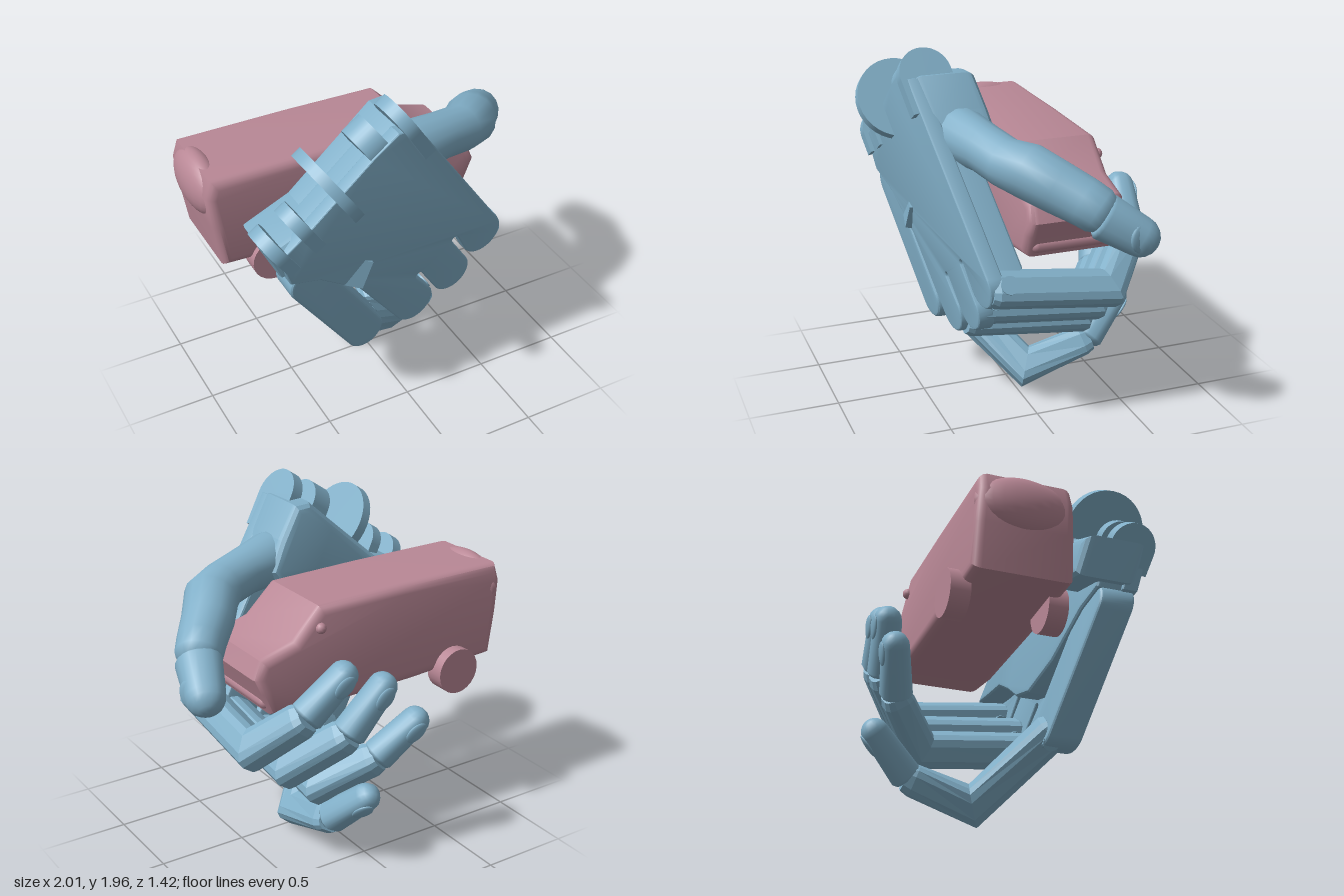
import * as THREE from 'three';
import { toCreasedNormals } from 'three/addons/utils/BufferGeometryUtils.js';

const V = (x, y, z) => new THREE.Vector3(x, y, z);
const ALONG = V(0.55, -0.83, -0.18).normalize();   // wrist to fingers
const ACROSS = V(0.83, 0.55, -0.03).normalize();   // little finger side to thumb side
const plane = (x, y) => 0.312 - 0.129 * x + 0.131 * y; // outer face of the palm

const blue = new THREE.MeshStandardMaterial({ color: 0x82b0c9 });
const blueFlat = new THREE.MeshStandardMaterial({ color: 0x82b0c9, flatShading: true });
const pink = new THREE.MeshStandardMaterial({ color: 0xb98896 });

function add(parent, name, geometry, material) {
  const mesh = new THREE.Mesh(geometry, material);
  mesh.name = name;
  parent.add(mesh);
  return mesh;
}

// Skin over cross-sections [x, y, z, radius]; box < 1 squares them off
function loft(sections, side, n = 12, box = 1) {
  const p = sections.map(s => V(s[0], s[1], s[2]));
  const pos = [], idx = [], last = p.length - 1;
  sections.forEach((s, i) => {
    const tin = p[Math.max(i, 1)].clone().sub(p[Math.max(i, 1) - 1]).normalize();
    const tout = p[Math.min(i + 1, last)].clone().sub(p[Math.min(i, last - 1)]).normalize();
    const t = tin.clone().add(tout).normalize();
    const a = side.clone().addScaledVector(t, -side.dot(t)).normalize();
    const b = t.clone().cross(a);
    const miter = 1 / Math.max(0.75, t.dot(tin));
    for (let j = 0; j < n; j++) {
      const q = (j + 0.5) / n * Math.PI * 2, c = Math.cos(q), d = Math.sin(q);
      const v = p[i].clone()
        .addScaledVector(a, s[3] * Math.sign(c) * Math.abs(c) ** box)
        .addScaledVector(b, s[3] * miter * Math.sign(d) * Math.abs(d) ** box);
      pos.push(v.x, v.y, v.z);
      if (i < last) {
        const A = i * n + j, B = i * n + (j + 1) % n;
        idx.push(A, B, B + n, A, B + n, A + n);
      }
    }
  });
  for (const [i, flip] of [[0, true], [last, false]]) {
    pos.push(p[i].x, p[i].y, p[i].z);
    const c = pos.length / 3 - 1;
    for (let j = 0; j < n; j++) {
      const A = i * n + j, B = i * n + (j + 1) % n;
      idx.push(c, flip ? B : A, flip ? A : B);
    }
  }
  const g = new THREE.BufferGeometry();
  g.setAttribute('position', new THREE.Float32BufferAttribute(pos, 3));
  g.setIndex(idx);
  g.computeVertexNormals();
  return g;
}

// Sections from point a to tip b with a domed finish
function capsule(a, b, ra, rb) {
  const list = [], dir = b.clone().sub(a), len = dir.length();
  dir.normalize();
  const put = (t, r) => { const q = a.clone().addScaledVector(dir, t); list.push([q.x, q.y, q.z, r]); };
  put(0, ra * 0.85);
  put(0.02, ra);
  for (const k of [0, 0.35, 0.65, 0.87, 0.97]) put(len - rb + rb * k, rb * Math.sqrt(1 - k * k));
  return list;
}

// Outline extruded backwards, starting below the palm's outer face, and leaned onto its plane
function plate(shape, depth, bevel = 0.02, below = 0) {
  const g = new THREE.ExtrudeGeometry(shape, { depth: depth - 2 * bevel, bevelThickness: bevel, bevelSize: bevel, bevelOffset: -bevel, bevelSegments: 3, curveSegments: 16 });
  g.translate(0, 0, bevel - depth - below);
  const p = g.attributes.position;
  for (let i = 0; i < p.count; i++) p.setZ(i, p.getZ(i) + plane(p.getX(i), p.getY(i)));
  return toCreasedNormals(g, 0.3);
}

const polygon = pts => new THREE.Shape(pts.map(q => new THREE.Vector2(q[0], q[1])));

function palm(hand) {
  const g = new THREE.Group();
  g.name = 'palm';
  hand.add(g);
  // Outer plate: three rounded knuckle ends with narrow notches between them
  const a = Math.atan2(-0.83, 0.55), h = Math.PI / 2;
  const outline = polygon([[0, 1.82], [-0.12, 1.83], [-0.26, 1.73], [-0.6, 1.44], [-0.79, 1.3], [-0.72, 1.1], [-0.54, 1.04], [-0.28, 0.84]]);
  outline.absarc(0.11, 0.52, 0.125, a - h, a + h, false);
  outline.absarc(0.125, 0.73, 0.02, a - h, a - 3 * h, true);
  outline.absarc(0.36, 0.63, 0.122, a - h, a + h, false);
  outline.absarc(0.355, 0.89, 0.02, a - h, a - 3 * h, true);
  outline.absarc(0.55, 0.84, 0.128, a - h, a + h, false);
  add(g, 'palmPlate', plate(outline, 0.09, 0.012), blue);
  add(g, 'palmBody', plate(polygon([[0, 1.78], [-0.12, 1.78], [-0.26, 1.7], [-0.6, 1.41], [-0.77, 1.28], [-0.7, 1.1],
    [-0.54, 1.04], [-0.28, 0.84], [-0.04, 0.74], [0.11, 0.77], [0.23, 0.86], [0.35, 0.93], [0.48, 0.92], [0.61, 0.92]]), 0.2, 0.025, 0.03), blue);
  // Thick heel along the wrist, carrying the thumb
  add(g, 'palmHeel', plate(polygon([[0, 1.83], [-0.1, 1.83], [-0.26, 1.69], [-0.57, 1.42], [-0.84, 1.32], [-0.75, 1.12], [-0.5, 1.16],
    [-0.1, 1.42], [0.14, 1.4], [0.21, 1.5], [0.12, 1.66]]), 0.35, 0.05, 0.03), blue);
  // Little finger strip, a slanted capsule
  const strip = new THREE.Shape(), s = Math.atan2(-0.58, 0.39);
  strip.absarc(-0.21, 0.46, 0.115, s - h, s + h, false);
  strip.absarc(-0.6, 1.04, 0.115, s + h, s + 3 * h, false);
  add(g, 'littleFingerStrip', plate(strip, 0.2, 0.02, 0.008), blue);
  // Low ledge beside the little finger slot
  const ledge = add(g, 'ledge', new THREE.BoxGeometry(0.11, 0.16, 0.06), blue);
  ledge.position.set(-0.3, 0.97, plane(-0.3, 0.97) - 0.02);
  ledge.rotation.set(-0.13, -0.13, -0.45);
  // Wrist hinge ears: centre, radius, thickness, neck length
  const basis = new THREE.Matrix4().makeBasis(ACROSS, ALONG, ACROSS.clone().cross(ALONG).normalize());
  const ears = [[-0.05, 1.82, 0.44, 0.145, 0.07, 0.2], [-0.22, 1.74, 0.43, 0.13, 0.12, 0.14],
    [-0.47, 1.59, 0.48, 0.23, 0.06, 0], [-0.65, 1.42, 0.48, 0.12, 0.07, 0.14], [-0.79, 1.32, 0.48, 0.13, 0.07, 0.12]];
  for (const [x, y, z, r, t, neck] of ears) {
    const ear = new THREE.Group();
    ear.name = 'wristEar';
    ear.quaternion.setFromRotationMatrix(basis);
    ear.position.set(x, y, z);
    g.add(ear);
    add(ear, 'earDisc', new THREE.CylinderGeometry(r, r, t, 36).rotateZ(Math.PI / 2), blue);
    if (neck) add(ear, 'earNeck', new THREE.BoxGeometry(t, neck, r * 2).translate(0, neck / 2, 0), blue);
  }
}

// Each finger: knuckle, knee, last joint, tip
function finger(hand, name, pts, r) {
  const g = new THREE.Group();
  g.name = name;
  hand.add(g);
  const [k, knee, joint, tip] = pts.map(q => V(...q));
  const sec = (v, f) => [v.x, v.y, v.z, r * f];
  add(g, 'phalanges', loft([sec(k, 0.85), sec(k.clone().lerp(knee, 0.05), 1), sec(knee, 0.98),
    sec(joint.clone().lerp(knee, 0.12), 0.9), sec(joint, 0.76)], ACROSS, 12, 0.65), blueFlat);
  add(g, 'fingertip', loft(capsule(joint.clone().lerp(knee, 0.04), tip, r * 0.9, r * 0.76), ACROSS, 16, 0.82), blue);
  // Hinge pin through the knuckle
  const pin = add(g, 'hingePin', new THREE.CylinderGeometry(r * 0.5, r * 0.5, r * 2.1, 20), blue);
  pin.quaternion.setFromUnitVectors(V(0, 1, 0), ACROSS);
  pin.position.copy(k.clone().lerp(knee, 0.12));
  // Nail pad on the outside of the tip
  const dir = tip.clone().sub(joint).normalize();
  const out = dir.clone().cross(ACROSS).normalize();
  if (out.z > 0) out.negate();
  const nail = add(g, 'nail', new THREE.SphereGeometry(1, 18, 12), blue);
  nail.quaternion.setFromRotationMatrix(new THREE.Matrix4().makeBasis(dir.clone().cross(out), dir, out));
  nail.scale.set(r * 0.5, r * 0.7, r * 0.14);
  nail.position.copy(tip).addScaledVector(dir, -r * 1.2).addScaledVector(out, r * 0.73);
}

function thumb(hand) {
  const g = new THREE.Group();
  g.name = 'thumb';
  hand.add(g);
  const up = V(0, 1, 0);
  add(g, 'thumbPhalanges', loft([[-0.02, 1.53, 0.32, 0.15], [0.12, 1.52, 0.29, 0.15], [0.32, 1.5, 0.23, 0.13],
    [0.48, 1.47, 0.18, 0.13], [0.59, 1.45, 0.1, 0.145], [0.68, 1.38, -0.02, 0.14],
    [0.78, 1.32, -0.13, 0.13], [0.83, 1.28, -0.19, 0.125], [0.86, 1.25, -0.23, 0.095]], up, 16), blue);
  add(g, 'thumbTip', loft(capsule(V(0.84, 1.26, -0.2), V(0.935, 1.09, -0.47), 0.122, 0.105), up, 20, 0.9), blue);
  const nail = add(g, 'thumbNail', new THREE.SphereGeometry(1, 18, 12), blue);
  nail.scale.set(0.02, 0.08, 0.085);
  nail.position.set(0.97, 1.16, -0.37);
  nail.rotation.set(-0.5, 0.3, 0.2);
}

function van() {
  const g = new THREE.Group();
  g.name = 'toyVan';
  // Side profile with sloped windscreen and short bonnet
  const profile = polygon([[-0.9, 0.97], [-0.35, 0.94], [0.3, 0.93], [0.55, 0.96], [0.6, 1.08], [0.64, 1.17],
    [0.6, 1.27], [0.4, 1.33], [0.24, 1.49], [-0.3, 1.5], [-0.93, 1.5], [-0.96, 1.4], [-0.94, 1.22]]);
  const b = 0.05, middle = -0.17;
  const body = new THREE.ExtrudeGeometry(profile, { depth: 0.55 - 2 * b, bevelThickness: b, bevelSize: b, bevelOffset: -b, bevelSegments: 4 });
  body.translate(0, 0, b - 0.275);
  // Sides lean in slightly towards the roof
  const p = body.attributes.position;
  for (let i = 0; i < p.count; i++) p.setZ(i, middle + p.getZ(i) * (1 - 0.16 * Math.max(0, p.getY(i) - 1.1)));
  add(g, 'vanBody', toCreasedNormals(body, 0.7), pink);
  // Worn rear wheels
  for (const z of [0.08, -0.45]) {
    const wheel = add(g, 'wheel', new THREE.CylinderGeometry(0.13, 0.13, 0.11, 24).rotateX(Math.PI / 2), pink);
    wheel.position.set(-0.62, 0.95, z);
  }
  // Bulge on the tail, bumper and side mirror
  const bulge = add(g, 'tailBulge', new THREE.SphereGeometry(1, 24, 16), pink);
  bulge.scale.set(0.1, 0.16, 0.26);
  bulge.position.set(-0.9, 1.36, -0.18);
  const bumper = add(g, 'bumper', new THREE.CapsuleGeometry(0.04, 0.4, 6, 12).rotateX(Math.PI / 2), pink);
  bumper.position.set(0.55, 1.02, -0.17);
  const mirror = add(g, 'sideMirror', new THREE.SphereGeometry(0.03, 12, 8), pink);
  mirror.position.set(0.25, 1.38, -0.435);
  return g;
}

export function createModel() {
  const model = new THREE.Group();
  const hand = new THREE.Group();
  hand.name = 'hand';
  model.add(hand, van());
  palm(hand);
  thumb(hand);
  finger(hand, 'indexFinger', [[0.595, 0.83, 0.31], [0.62, 0.75, -0.35], [0.42, 0.97, -0.56], [0.16, 1.22, -0.6]], 0.1);
  finger(hand, 'middleFinger', [[0.37, 0.645, 0.31], [0.4, 0.58, -0.35], [0.17, 0.82, -0.59], [-0.06, 1.12, -0.63]], 0.1);
  finger(hand, 'ringFinger', [[0.17, 0.48, 0.3], [0.21, 0.42, -0.35], [-0.03, 0.62, -0.57], [-0.28, 0.86, -0.65]], 0.098);
  finger(hand, 'littleFinger', [[-0.22, 0.47, 0.27], [0.16, 0.115, -0.06], [0.18, 0.24, -0.44], [0.07, 0.49, -0.69]], 0.098);
  return model;
}
